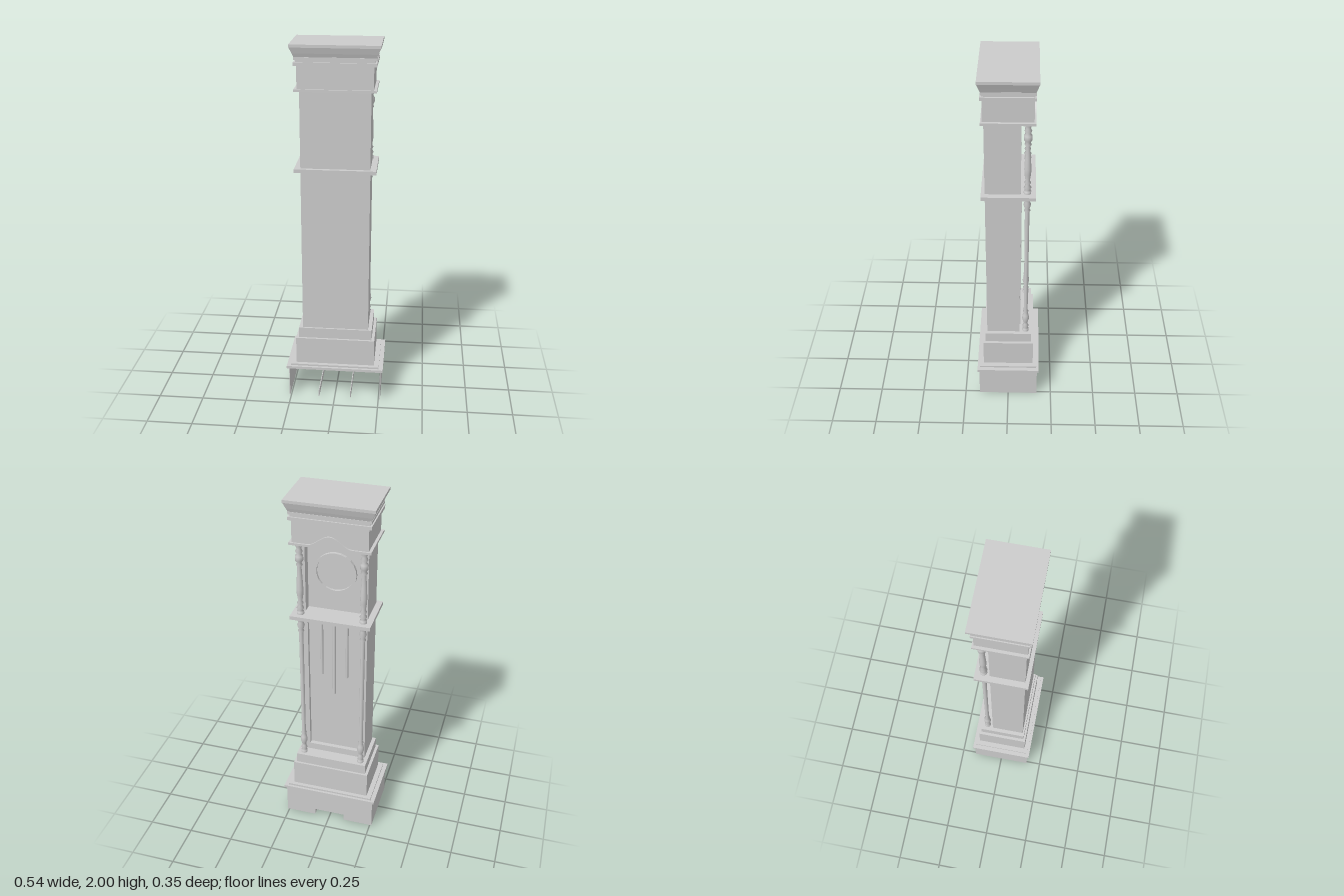
import * as THREE from 'three';

const mat = new THREE.MeshStandardMaterial({ color: 0xcccccc, side: THREE.DoubleSide });

export function createModel() {
  const clock = new THREE.Group();
  clock.name = 'longcaseClock';

  const add = (name, geo) => {
    const m = new THREE.Mesh(geo, mat);
    m.name = name;
    clock.add(m);
    return m;
  };
  // Box given by its limits on each axis
  const box = (name, x0, x1, y0, y1, z0, z1) => {
    const g = new THREE.BoxGeometry(x1 - x0, y1 - y0, z1 - z0);
    g.translate((x0 + x1) / 2, (y0 + y1) / 2, (z0 + z1) / 2);
    return add(name, g);
  };
  // Centred slab with half sizes
  const slab = (name, hx, hz, y0, y1) => box(name, -hx, hx, y0, y1, -hz, hz);
  // Slab whose top is wider than its bottom
  const flare = (name, hx0, hz0, hx1, hz1, y0, y1) => {
    const g = new THREE.BoxGeometry(2, y1 - y0, 2).toNonIndexed();
    const p = g.attributes.position;
    for (let i = 0; i < p.count; i++) {
      const top = p.getY(i) > 0;
      p.setX(i, p.getX(i) * (top ? hx1 : hx0));
      p.setZ(i, p.getZ(i) * (top ? hz1 : hz0));
    }
    g.translate(0, (y0 + y1) / 2, 0);
    g.computeVertexNormals();
    return add(name, g);
  };
  const extrude = (name, shape, z0, z1) => {
    const g = new THREE.ExtrudeGeometry(shape, { depth: z1 - z0, bevelEnabled: false, curveSegments: 12 });
    g.translate(0, 0, z0);
    return add(name, g);
  };

  // Plinth: open behind, bracket cut-out in the decorated side
  const plinth = new THREE.Shape([
    [-0.26, 0], [-0.09, 0], [-0.09, 0.04], [0.09, 0.04], [0.09, 0], [0.26, 0], [0.26, 0.18], [-0.26, 0.18],
  ].map(([x, y]) => new THREE.Vector2(x, y)));
  extrude('plinthPanel', plinth, -0.167, -0.163);
  for (const s of [-1, 1]) {
    box('plinthSide', s * 0.258 - 0.002, s * 0.258 + 0.002, 0, 0.18, -0.167, 0.167);
    box('plinthRunner', s * 0.09 - 0.002, s * 0.09 + 0.002, 0, 0.04, -0.163, 0.167);
  }
  slab('plinthLedge', 0.272, 0.177, 0.18, 0.195);
  slab('plinthLedgeStep', 0.248, 0.163, 0.195, 0.205);
  slab('lowerBase', 0.22, 0.142, 0.205, 0.36);
  slab('upperBase', 0.204, 0.13, 0.36, 0.42);

  // Trunk with recessed door and dial chamber
  box('trunk', -0.183, 0.183, 0.42, 1.77, -0.015, 0.12);
  box('doorPanel', -0.15, 0.15, 0.42, 1.335, -0.045, -0.015);
  for (const s of [-1, 1]) {
    const [a, b] = s > 0 ? [0.15, 0.183] : [-0.183, -0.15];
    box('trunkStile', a, b, 0.42, 1.77, -0.063, -0.015);
    const [c, d] = s > 0 ? [0.14, 0.155] : [-0.155, -0.14];
    box('doorStile', c, d, 0.45, 1.305, -0.068, -0.045);
  }
  box('trunkBottomRail', -0.15, 0.15, 0.42, 0.45, -0.063, -0.045);
  box('trunkTopRail', -0.15, 0.15, 1.305, 1.335, -0.063, -0.045);
  box('doorBottomRail', -0.14, 0.14, 0.45, 0.465, -0.068, -0.045);
  box('doorTopRail', -0.14, 0.14, 1.29, 1.305, -0.068, -0.045);

  // Hanging weights and pendulum rod
  for (const [x, len] of [[0.07, 0.34], [0, 0.46], [-0.07, 0.34]]) {
    const g = new THREE.CylinderGeometry(0.009, 0.009, len, 10);
    g.translate(x, 1.3 - len / 2, -0.05);
    add('weight', g);
  }

  // Dial ring and dial
  const ring = new THREE.Shape().absarc(0, 1.58, 0.112, 0, Math.PI * 2);
  ring.holes.push(new THREE.Path().absarc(0, 1.58, 0.1, 0, Math.PI * 2, true));
  extrude('dialRing', ring, -0.032, -0.015);
  extrude('dial', new THREE.Shape().absarc(0, 1.58, 0.1, 0, Math.PI * 2), -0.019, -0.015);

  slab('middleShelf', 0.215, 0.14, 1.335, 1.355);

  // Turned columns: knobs near both ends, slender shaft between
  const lathe = (name, pts) => {
    for (const x of [-0.168, 0.168]) {
      const g = new THREE.LatheGeometry(pts.map(([r, y]) => new THREE.Vector2(r, y)), 14);
      g.translate(x, 0, -0.097);
      add(name, g);
    }
  };
  lathe('lowerColumn', [
    [0.018, 0.42], [0.018, 0.435], [0.011, 0.44], [0.018, 0.455], [0.011, 0.47], [0.013, 0.485],
    [0.02, 0.51], [0.017, 0.535], [0.011, 0.555], [0.016, 0.562], [0.011, 0.57], [0.012, 1.24],
    [0.017, 1.25], [0.012, 1.26], [0.02, 1.285], [0.014, 1.305], [0.019, 1.315], [0.019, 1.335],
  ]);
  lathe('upperColumn', [
    [0.019, 1.355], [0.019, 1.37], [0.011, 1.376], [0.02, 1.39], [0.011, 1.405], [0.018, 1.42],
    [0.011, 1.43], [0.017, 1.47], [0.018, 1.5], [0.015, 1.56], [0.011, 1.63], [0.018, 1.64],
    [0.011, 1.65], [0.021, 1.665], [0.021, 1.69], [0.012, 1.7], [0.019, 1.715], [0.012, 1.73],
    [0.018, 1.745], [0.018, 1.765],
  ]);

  // Hood: ogee arch over the dial, with a moulding along its edge
  const archEdge = (half, y) => {
    const pts = [new THREE.Vector2(-half, y)];
    for (let i = 0; i <= 20; i++) {
      const t = -1 + i / 10;
      pts.push(new THREE.Vector2(t * 0.115, y + 0.0275 * (1 + Math.cos(t * Math.PI))));
    }
    pts.push(new THREE.Vector2(half, y));
    return pts;
  };
  const hood = new THREE.Shape([...archEdge(0.195, 1.77), new THREE.Vector2(0.195, 1.895), new THREE.Vector2(-0.195, 1.895)]);
  extrude('hoodArch', hood, -0.126, -0.015);
  box('hoodBack', -0.195, 0.195, 1.77, 1.895, -0.015, 0.126);
  const trim = new THREE.Shape([...archEdge(0.21, 1.762), ...archEdge(0.21, 1.774).reverse()]);
  extrude('hoodArchMoulding', trim, -0.135, -0.01);
  box('hoodLowerMoulding', -0.21, 0.21, 1.762, 1.774, -0.01, 0.135);

  // Cornice
  slab('corniceBand', 0.21, 0.135, 1.893, 1.91);
  slab('corniceNeck', 0.2, 0.127, 1.91, 1.922);
  slab('corniceBead', 0.209, 0.133, 1.922, 1.936);
  flare('corniceCove', 0.207, 0.131, 0.215, 0.138, 1.936, 1.955);
  flare('corniceFlare', 0.215, 0.138, 0.228, 0.147, 1.955, 1.985);
  slab('corniceTop', 0.23, 0.148, 1.985, 2);

  return clock;
}
